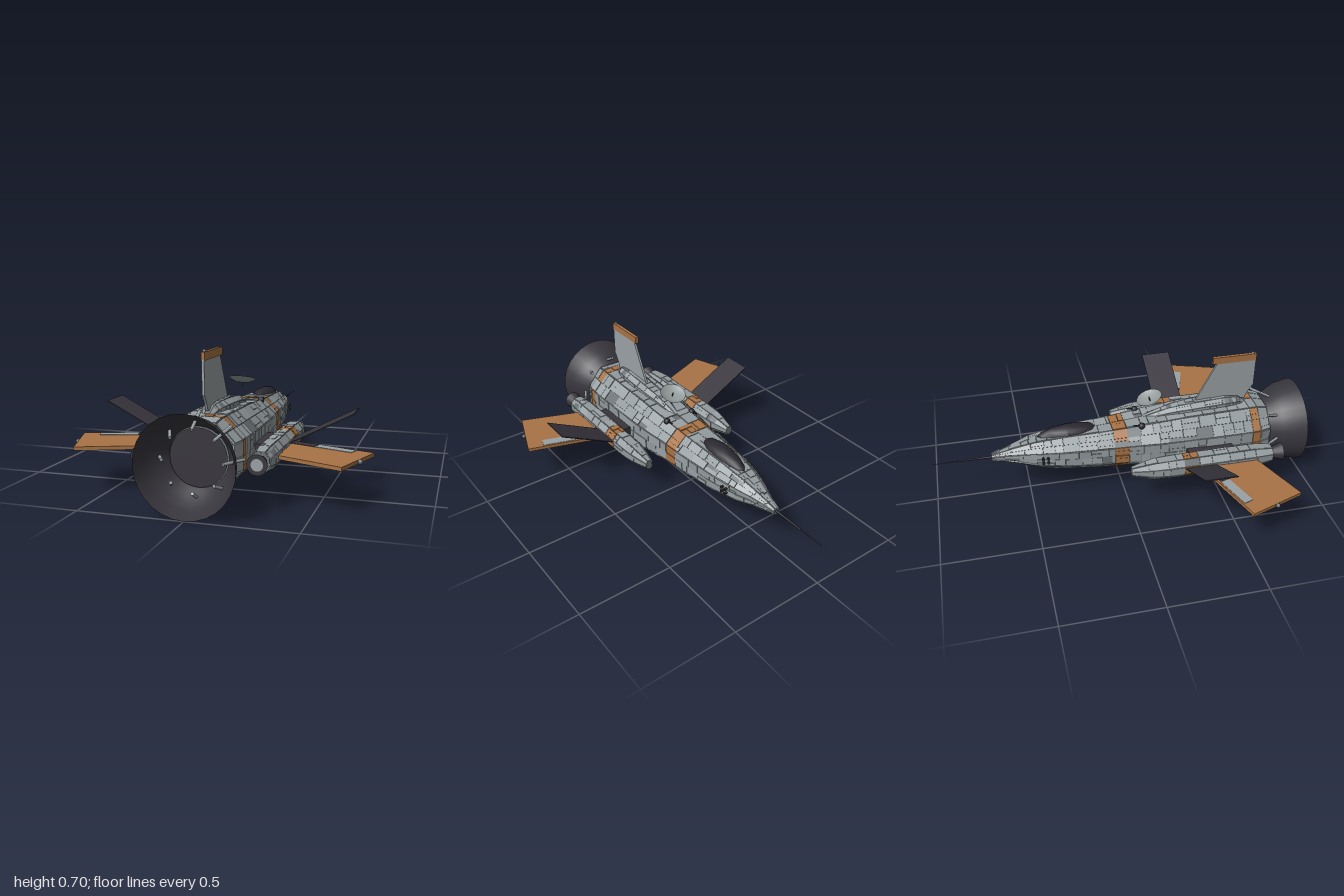
import * as THREE from 'three';

const mat = (name, color, side = THREE.FrontSide) => {
  const m = new THREE.MeshStandardMaterial({ color, side });
  m.name = name;
  return m;
};

// Small seeded random source for the panelling
let seed = 7;
const rnd = () => (seed = (seed * 16807) % 2147483647) / 2147483647;

// Octagonal cross-section, anticlockwise seen from the tail
const OCT = [[0.5, -1], [1, -0.42], [1, 0.42], [0.5, 1], [-0.5, 1], [-1, 0.42], [-1, -0.42], [-0.5, -1]];

// Point on a hull: stations are [z, halfWidth, top, bottom]; f runs round the octagon
function hullPoint(st, f, z) {
  let i = 0;
  while (i < st.length - 2 && z > st[i + 1][0]) i++;
  const t = (z - st[i][0]) / (st[i + 1][0] - st[i][0]);
  const [w, top, bot] = [1, 2, 3].map(k => THREE.MathUtils.lerp(st[i][k], st[i + 1][k], t));
  const j = Math.floor(f) % 8, u = f - Math.floor(f), a = OCT[j], b = OCT[(j + 1) % 8];
  const x = a[0] + (b[0] - a[0]) * u, y = a[1] + (b[1] - a[1]) * u;
  return new THREE.Vector3(x * w, (top + bot) / 2 + y * (top - bot) / 2, z);
}

const quad = (out, a, b, c, d) => [a, b, c, a, c, d].forEach(p => out.push(p.x, p.y, p.z));

function facets(out) {
  const g = new THREE.BufferGeometry();
  g.setAttribute('position', new THREE.Float32BufferAttribute(out, 3));
  g.computeVertexNormals();
  return g;
}

// Plain lofted hull with closed ends
function loft(st) {
  const out = [], n = st.length - 1;
  for (let i = 0; i < n; i++) for (let j = 0; j < 8; j++) {
    const z0 = st[i][0], z1 = st[i + 1][0];
    quad(out, hullPoint(st, j, z0), hullPoint(st, j + 1, z0), hullPoint(st, j + 1, z1), hullPoint(st, j, z1));
  }
  for (const [i, back] of [[0, false], [n, true]]) {
    const [z, , top, bot] = st[i], c = new THREE.Vector3(0, (top + bot) / 2, z);
    for (let j = 0; j < 8; j++) {
      const p = hullPoint(st, j, z), q = hullPoint(st, j + 1, z);
      (back ? [c, p, q] : [c, q, p]).forEach(v => out.push(v.x, v.y, v.z));
    }
  }
  return facets(out);
}

// One raised panel over a patch of the hull
function panel(out, st, f0, f1, z0, z1, h) {
  const base = [hullPoint(st, f0, z0), hullPoint(st, f1, z0), hullPoint(st, f1, z1), hullPoint(st, f0, z1)];
  const n = base[1].clone().sub(base[0]).cross(base[3].clone().sub(base[0])).normalize();
  const up = base.map(p => p.clone().addScaledVector(n, h));
  quad(out, ...up);
  for (let k = 0; k < 4; k++) {
    const m = (k + 1) % 4;
    quad(out, base[k], base[m], up[m], up[k]);
  }
}

export function createModel() {
  const root = new THREE.Group();
  const grey = mat('hullGrey', 0x929a9d);
  const pale = mat('paleGrey', 0x9aa2a5);
  const mid = mat('seamGrey', 0x6b7275);
  const orange = mat('orangePaint', 0xa97345);
  const dark = mat('darkMetal', 0x38363d, THREE.DoubleSide);
  const black = mat('canopyGlass', 0x2b2930);

  const add = (name, geo, material, parent = root) => {
    const m = new THREE.Mesh(geo, material);
    m.name = name;
    parent.add(m);
    return m;
  };
  const rod = (name, a, b, r0, r1, material, parent = root, sides = 8) => {
    const va = new THREE.Vector3(...a), d = new THREE.Vector3(...b).sub(va);
    const m = add(name, new THREE.CylinderGeometry(r1, r0, d.length(), sides), material, parent);
    m.position.copy(va).addScaledVector(d, 0.5);
    m.quaternion.setFromUnitVectors(new THREE.Vector3(0, 1, 0), d.normalize());
    return m;
  };

  // Hull plus irregular panelling; bands are painted [z0, z1] ranges
  function panelledHull(name, st, bands, step, rows, h) {
    const g = new THREE.Group();
    g.name = name;
    add(name + 'Core', loft(st), mid, g);
    const sets = [[grey, []], [pale, []], [orange, []]];
    const end = st[st.length - 1][0], cuts = [...bands.flat(), end];
    for (let j = 0; j < 8; j++) for (let r = 0; r < rows; r++) {
      let z = st[0][0];
      while (z < end - 1e-4) {
        let z1 = z + step * (0.5 + rnd());
        for (const c of cuts) if (c > z + 1e-4 && c < z1 + 0.012) { z1 = c; break; }
        const painted = bands.some(b => z >= b[0] - 1e-4 && z1 <= b[1] + 1e-4) && rnd() < 0.88;
        const out = sets[painted ? 2 : rnd() < 0.6 ? 0 : 1][1];
        const split = rnd() < 0.35 ? 0.3 + rnd() * 0.4 : 0;
        const ends = split ? [0, split, 1] : [0, 1];
        for (let k = 0; k < ends.length - 1; k++) if (rnd() > 0.03)
          panel(out, st, j + (r + ends[k] + 0.012) / rows, j + (r + ends[k + 1] - 0.012) / rows,
            z + 0.001, z1 - 0.001, h * (0.4 + 0.8 * rnd()));
        z = z1;
      }
    }
    sets.forEach(([m, out]) => out.length && add(name + 'Panels', facets(out), m, g));
    root.add(g);
    return g;
  }

  // Main body, nose towards -z
  panelledHull('fuselage', [
    [-0.69, 0.012, 0.25, 0.225], [-0.58, 0.043, 0.285, 0.206], [-0.47, 0.082, 0.32, 0.172],
    [-0.32, 0.11, 0.34, 0.146], [-0.1, 0.133, 0.352, 0.13], [0.02, 0.143, 0.36, 0.125],
    [0.2, 0.165, 0.378, 0.105], [0.35, 0.175, 0.39, 0.092], [0.65, 0.182, 0.4, 0.08],
    [0.75, 0.177, 0.4, 0.08], [0.805, 0.155, 0.385, 0.09],
  ], [[-0.05, 0.025], [0.7, 0.745]], 0.07, 2, 0.007);

  // Dorsal spine
  panelledHull('dorsalSpine', [
    [0.13, 0.015, 0.375, 0.35], [0.27, 0.035, 0.42, 0.35], [0.38, 0.048, 0.434, 0.36],
    [0.6, 0.05, 0.446, 0.37], [0.66, 0.038, 0.438, 0.37], [0.7, 0.018, 0.405, 0.37],
  ], [], 0.07, 1, 0.004);

  // Canopy, narrower at the front
  const glass = new THREE.SphereGeometry(1, 12, 8);
  const gp = glass.attributes.position;
  for (let i = 0; i < gp.count; i++) gp.setX(i, gp.getX(i) * (1 + 0.25 * gp.getZ(i)));
  glass.scale(0.057, 0.046, 0.165);
  glass.computeVertexNormals();
  const canopy = add('canopy', glass, black);
  canopy.position.set(0, 0.332, -0.285);
  canopy.rotation.x = -0.06;

  // Nose probe
  rod('probeBase', [0, 0.238, -0.68], [0, 0.238, -0.86], 0.006, 0.004, dark);
  rod('probeTip', [0, 0.238, -0.86], [0, 0.238, -1], 0.0025, 0.0015, dark);

  // Main engine bell, throat plate and struts
  const bellProfile = [[0.13, 0.79], [0.145, 0.815], [0.165, 0.84], [0.19, 0.88], [0.212, 0.925], [0.23, 1]];
  const bell = new THREE.LatheGeometry(bellProfile.map(p => new THREE.Vector2(...p)), 28);
  bell.rotateX(Math.PI / 2);
  add('engineBell', bell, dark).position.y = 0.235;
  add('engineThroat', new THREE.CircleGeometry(0.135, 28), dark).position.set(0, 0.235, 0.815);
  for (let i = 0; i < 8; i++) {
    const c = Math.cos(i * Math.PI / 4), s = Math.sin(i * Math.PI / 4);
    rod('bellStrut', [c * 0.203, 0.235 + s * 0.203, 0.79], [c * 0.14, 0.235 + s * 0.14, 0.895], 0.008, 0.008, pale);
  }

  // Tail fin with painted cap
  const upright = (pts, t) => {
    const g = new THREE.ExtrudeGeometry(new THREE.Shape(pts.map(p => new THREE.Vector2(...p))), { depth: t, bevelEnabled: false });
    return g.rotateY(-Math.PI / 2).translate(t / 2, 0, 0);
  };
  add('tailFin', upright([[0.41, 0.42], [0.7, 0.42], [0.715, 0.455], [0.745, 0.5], [0.745, 0.655], [0.53, 0.655]], 0.012), pale);
  add('finCap', upright([[0.505, 0.652], [0.745, 0.652], [0.745, 0.69], [0.505, 0.69]], 0.018), orange);
  add('finLight', new THREE.SphereGeometry(0.009, 8, 6), mid).position.set(0, 0.692, 0.725);

  // Dish antenna
  const dish = new THREE.Group();
  dish.name = 'dishAntenna';
  const bowl = [[0, -0.014], [0.03, -0.011], [0.055, -0.002], [0.07, 0.008]].map(p => new THREE.Vector2(...p));
  const dishMat = mat('dishGrey', 0x939c9b, THREE.DoubleSide);
  add('dishBowl', new THREE.LatheGeometry(bowl, 16), dishMat, dish);
  rod('dishFeed', [0, -0.035, 0], [0, 0.012, 0], 0.003, 0.003, dark, dish);
  dish.position.set(0, 0.484, 0.165);
  dish.rotation.x = -0.33;
  root.add(dish);

  // Flat plate in the x-z plane, mirrored by s, upper face at y
  const flat = (pts, y, t, s) => {
    const g = new THREE.ExtrudeGeometry(new THREE.Shape(pts.map(p => new THREE.Vector2(p[0] * s, p[1]))), { depth: t, bevelEnabled: false });
    return g.rotateX(Math.PI / 2).translate(0, y, 0);
  };

  for (const s of [1, -1]) {
    // Side pods
    const pod = panelledHull('sidePod', [
      [0.005, 0.017, 0.248, 0.205], [0.04, 0.025, 0.256, 0.196], [0.13, 0.046, 0.274, 0.177],
      [0.22, 0.05, 0.277, 0.173], [0.7, 0.051, 0.278, 0.173], [0.77, 0.04, 0.265, 0.185],
    ], [[0.28, 0.36]], 0.075, 1, 0.005);
    pod.position.x = s * 0.27;
    rod('podNozzle', [s * 0.27, 0.225, 0.76], [s * 0.27, 0.225, 0.83], 0.025, 0.048, dark, root, 14);
    add('podThroat', new THREE.CircleGeometry(0.028, 14), pale).position.set(s * 0.27, 0.225, 0.832);

    // Pylon joining pod and body
    add('podPylon', new THREE.BoxGeometry(0.09, 0.06, 0.25), dark).position.set(s * 0.195, 0.225, 0.455);

    // Forward-swept wing root, painted wing, control strips and tip light
    add('wing', flat([[0.25, 0.347], [0.725, 0.505], [0.625, 0.79], [0.25, 0.645]], 0.233, 0.018, s), orange);
    add('wingStrip', flat([[0.46, 0.425], [0.622, 0.48], [0.642, 0.487], [0.625, 0.535], [0.445, 0.474]], 0.235, 0.022, s), pale);
    add('wingInset', flat([[0.33, 0.385], [0.458, 0.428], [0.443, 0.474], [0.315, 0.43]], 0.235, 0.022, s), dark);
    add('wingTipLight', new THREE.SphereGeometry(0.012, 8, 6), mid).position.set(s * 0.682, 0.224, 0.645);

    // Raised radiator panel
    const rad = add('radiator', new THREE.BoxGeometry(0.37, 0.005, 0.165), dark);
    rad.position.set(s * 0.456, 0.306, 0.365);
    rad.rotation.z = s * 0.478;

    // Dorsal sensor knobs
    add('sensorKnob', new THREE.SphereGeometry(0.018, 10, 8), black).position.set(s * 0.083, 0.372, 0.105);
    rod('sensorBarrel', [s * 0.083, 0.376, 0.105], [s * 0.083, 0.38, 0.06], 0.004, 0.004, black);

    // Nose manoeuvring thrusters
    for (let k = 0; k < 4; k++) {
      const a = Math.PI / 4 + k * Math.PI / 2;
      const y = 0.242 + Math.sin(a) * 0.018, z = -0.415 + Math.cos(a) * 0.018;
      rod('noseThruster', [s * 0.085, y, z], [s * 0.112, y, z], 0.005, 0.008, black);
    }
  }
  return root;
}
